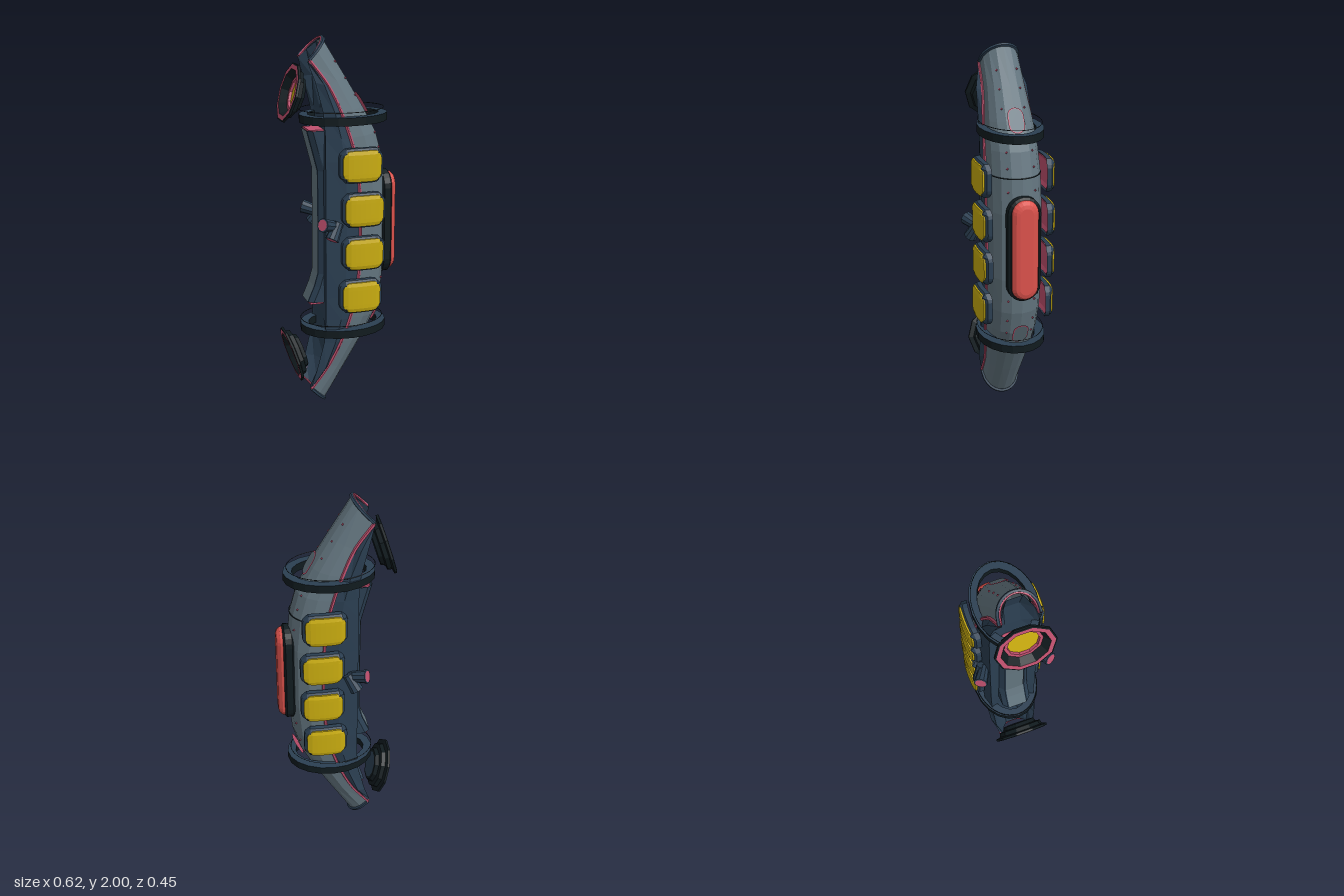
import * as THREE from 'three';

const mat = (color) => new THREE.MeshStandardMaterial({ color, flatShading: true, side: THREE.DoubleSide });
const V = (x, y, z) => new THREE.Vector3(x, y, z);
const MID = 1.0; // height of the mirror plane between upper and lower half

// Stations of the upper half: front x,y | seam x,y,half width | back edge x,y | side half width | floor x,y
const UPPER = [
  [-0.08, 1.99, -0.175, 1.89, 0.1, -0.182, 1.88, 0.104, -0.1, 1.965],
  [0.035, 1.8, -0.08, 1.76, 0.108, -0.15, 1.78, 0.138, -0.06, 1.79],
  [0.13, 1.64, -0.015, 1.62, 0.125, -0.11, 1.62, 0.145, -0.08, 1.62],
  [0.205, 1.5, 0.03, 1.49, 0.135, -0.1, 1.49, 0.148, -0.09, 1.49],
  [0.24, 1.37, 0.06, 1.37, 0.14, -0.1, 1.37, 0.15, -0.095, 1.37],
  [0.257, 1.18, 0.08, 1.18, 0.142, -0.1, 1.18, 0.15, -0.095, 1.18],
];
const flip = (s) => s.map((v, i) => ([1, 3, 6, 9].includes(i) ? 2 * MID - v : v));
const STATIONS = [...UPPER, ...UPPER.map(flip).reverse()];

// Point on the front shell of a station, a = -1 (right seam) .. 1 (left seam)
function shellPoint(s, a, out = 0) {
  const t = a * Math.PI / 2, c = Math.pow(Math.max(Math.cos(t), 0), 0.85);
  return V(s[2] + (s[0] - s[2]) * c + out * c, s[3] + (s[1] - s[3]) * c, (s[4] + out) * Math.sin(t));
}
const blend = (s, e, f) => s.map((v, i) => v + (e[i] - v) * f);
function stationAt(y) {
  let i = 0;
  while (i < STATIONS.length - 2 && STATIONS[i + 1][1] > y) i++;
  const a = STATIONS[i], b = STATIONS[i + 1];
  return blend(a, b, (a[1] - y) / (a[1] - b[1]));
}

function loft(rows) {
  const n = rows[0].length, pos = [], idx = [];
  rows.forEach((r) => r.forEach((p) => pos.push(p.x, p.y, p.z)));
  for (let i = 0; i < rows.length - 1; i++) for (let j = 0; j < n - 1; j++) {
    const a = i * n + j, b = a + n;
    idx.push(a, b, a + 1, b, b + 1, a + 1);
  }
  const g = new THREE.BufferGeometry();
  g.setAttribute('position', new THREE.Float32BufferAttribute(pos, 3));
  g.setIndex(idx);
  g.computeVertexNormals();
  return g;
}
const tube = (pts, r) =>
  new THREE.TubeGeometry(new THREE.CatmullRomCurve3(pts, false, 'centripetal'), pts.length * 4, r, 5);

function polygon(rx, ry, n, Type) {
  const pts = [];
  for (let i = 0; i < n; i++) {
    const a = (i / n) * Math.PI * 2;
    pts.push(new THREE.Vector2(rx * Math.cos(a), ry * Math.sin(a)));
  }
  return new Type(pts);
}

// Upright capsule outline
function capsule(r, half) {
  const s = new THREE.Shape();
  s.absarc(0, half - r, r, 0, Math.PI);
  s.absarc(0, r - half, r, Math.PI, Math.PI * 2);
  s.closePath();
  return s;
}

// Box with cut corners, a curved face and a rim that folds inwards
function panelGeometry(w, h, d, cut, fold) {
  const g = new THREE.BoxGeometry(w, h, d, 8, 8, 1), p = g.attributes.position;
  for (let i = 0; i < p.count; i++) {
    let x = p.getX(i), y = p.getY(i);
    const over = Math.max(0, Math.abs(x) + Math.abs(y) - (w + h) / 2 + cut) / 2;
    const edge = Math.pow(Math.max(Math.abs(2 * x / w), Math.abs(2 * y / h)), 10);
    p.setXYZ(i, x - Math.sign(x) * over, y - Math.sign(y) * over, p.getZ(i) - fold * edge - 0.8 * x * x);
  }
  g.computeVertexNormals();
  return g;
}

export function createModel() {
  const model = new THREE.Group();
  const grey = mat(0x647680), dark = mat(0x2b3f52), black = mat(0x111b1f);
  const pink = mat(0xc0506e), yellow = mat(0xcaad10), red = mat(0xdc524c);
  const add = (name, geo, m, parent = model) => {
    const mesh = new THREE.Mesh(geo, m);
    mesh.name = name;
    parent.add(mesh);
    return mesh;
  };

  // Hull: faceted front shell and dark rear shell with a gutter at each tip
  const steps = [-1, -0.75, -0.5, -0.25, 0, 0.25, 0.5, 0.75, 1];
  add('frontShell', loft(STATIONS.map((s) => steps.map((a) => shellPoint(s, a)))), grey);
  add('rearShell', loft(STATIONS.map(([, , sx, sy, w, bx, by, sw, cx, cy]) => {
    const half = [V(sx, sy, w), V(sx * 0.6 + bx * 0.4, sy * 0.6 + by * 0.4, sw),
      V(bx, by, sw * 0.86), V((bx + cx) / 2, (by + cy) / 2, sw * 0.7), V(cx, cy, 0.04)];
    return [...half, ...half.slice().reverse().map((p) => V(p.x, p.y, -p.z))];
  })), dark);
  for (const side of [-1, 1]) {
    add('seamStripe', tube(STATIONS.map((s) => shellPoint(s, side, 0.002)), 0.009), pink);
  }
  for (const s of [STATIONS[0], STATIONS[STATIONS.length - 1]]) {
    add('tipRim', tube(steps.map((a) => shellPoint(s, a, 0.001)), 0.01), dark);
    add('tipTrim', tube(steps.map((a) => shellPoint(s, a, -0.009)), 0.006), pink);
  }
  add('shellSeam', tube(steps.map((a) => shellPoint(stationAt(1.37), a)), 0.003), black);

  // Rivets in two rows along the shell
  for (const y of [1.88, 1.79, 1.7, 1.5, 1.42, 1.3, 0.7, 0.58, 0.5]) for (const side of [-1, 1]) {
    add('rivet', new THREE.OctahedronGeometry(0.007), pink).position.copy(shellPoint(stationAt(y), side * 0.34));
  }

  // Arched notches in the shell beside the collars
  for (const up of [1, -1]) {
    const s = stationAt(MID + up * 0.645);
    const notch = new THREE.Group();
    notch.name = 'notch';
    const arch = (r) => new THREE.ShapeGeometry(capsule(r, r + 0.025), 5);
    add('notchTrim', arch(0.043), pink, notch);
    add('notchFill', arch(0.037), grey, notch).position.z = 0.003;
    notch.position.set(s[0] + 0.006, s[1], 0);
    notch.rotation.set(up * -0.52, Math.PI / 2, 0, 'YXZ');
    if (up < 0) notch.position.set(stationAt(0.5)[0] + 0.006, 0.5, 0);
    if (up < 0) notch.rotation.x = 0.46;
    model.add(notch);
  }

  // Collars with a thin hoop above each
  for (const [y, rz] of [[1.557, 0.166], [0.412, 0.182]]) {
    const ring = polygon(0.235, rz, 20, THREE.Shape);
    ring.holes.push(polygon(0.19, 0.125, 20, THREE.Path));
    const geo = new THREE.ExtrudeGeometry(ring, { depth: 0.042, bevelEnabled: false });
    geo.rotateX(-Math.PI / 2);
    const collar = add('collar', geo, [dark, black]);
    collar.position.set(0.033, y, 0);
    const hoop = add('hoop', new THREE.TorusGeometry(0.225, 0.002, 4, 40), black);
    hoop.rotation.x = Math.PI / 2;
    hoop.scale.y = rz / 0.235;
    hoop.position.set(0.025, y + 0.067, 0);
  }

  // Dishes behind the tips
  const lathe = (pts) => new THREE.LatheGeometry(pts.map((p) => new THREE.Vector2(...p)), 10);
  for (const up of [1, -1]) {
    const dish = new THREE.Group();
    dish.name = 'dish';
    add('dishBody', lathe([[0, -0.065], [0.09, -0.065], [0.1, -0.045], [0.125, -0.04], [0.13, -0.018],
      [0.156, -0.012], [0.156, 0], [0.148, 0.002]]), black, dish);
    add('dishRim', lathe([[0.148, 0.002], [0.125, 0.002]]), pink, dish);
    add('dishCone', lathe([[0.125, 0.002], [0.098, -0.034]]), black, dish);
    add('dishInnerRing', lathe([[0.098, -0.034], [0.082, -0.034], [0.08, -0.048]]), pink, dish);
    add('dishLens', lathe([[0.08, -0.048], [0, -0.048]]), yellow, dish);
    add('dishBack', lathe([[0, -0.067], [0.075, -0.067]]), dark, dish);
    dish.position.set(-0.262, MID + up * 0.718, 0);
    dish.quaternion.setFromUnitVectors(V(0, 1, 0), V(-0.958, up * 0.287, 0).normalize());
    model.add(dish);
  }

  // Side panels, four on each side
  for (const side of [1, -1]) for (const [x, y] of [[0.078, 1.352], [0.092, 1.115], [0.092, 0.88], [0.078, 0.645]]) {
    const panel = new THREE.Group();
    panel.name = 'sidePanel';
    add('panelFrame', panelGeometry(0.232, 0.182, 0.026, 0.035, 0.018), dark, panel);
    add('panelBacking', panelGeometry(0.21, 0.16, 0.012, 0.03, 0.01), pink, panel).position.z = -0.012;
    add('panelFace', panelGeometry(0.205, 0.162, 0.012, 0.03, 0.006), yellow, panel).position.z = 0.0115;
    panel.position.set(x, y, side * 0.189);
    panel.rotation.y = side > 0 ? 0 : Math.PI;
    model.add(panel);
  }

  // Raised front bumper on a dark base, bowed towards the ends
  const bumper = new THREE.Group();
  bumper.name = 'frontBumper';
  const pillow = new THREE.ExtrudeGeometry(capsule(0.035, 0.235), { depth: 0.012, curveSegments: 5,
    bevelThickness: 0.04, bevelSize: 0.038, bevelSegments: 3 });
  add('bumperPad', pillow, red, bumper).position.z = 0.01;
  add('bumperBase', new THREE.ExtrudeGeometry(capsule(0.075, 0.27), { depth: 0.035, curveSegments: 5,
    bevelThickness: 0.01, bevelSize: 0.014, bevelSegments: 1 }), black, bumper).position.z = -0.015;
  bumper.position.set(0.252, 1.0, 0);
  bumper.rotation.y = Math.PI / 2;
  model.add(bumper);

  // Rear spine plate, flared at both ends
  const spine = [[1.525, -0.178], [1.42, -0.15], [1.31, -0.122], [1.0, -0.12], [0.75, -0.122], [0.68, -0.142], [0.595, -0.178]];
  add('spinePlate', loft(spine.map(([y, x]) => [V(-0.09, y, 0.085), V(x + 0.025, y, 0.08), V(x, y, 0.055),
    V(x, y, -0.055), V(x + 0.025, y, -0.08), V(-0.09, y, -0.085)])), dark);
  add('spineFace', loft(spine.map(([y, x]) => [V(x - 0.003, y, 0.05), V(x - 0.003, y, -0.05)])), grey);
  for (const y of [1.52, 0.585]) {
    add('spineEnd', new THREE.BoxGeometry(0.085, 0.012, 0.12), pink).position.set(-0.125, y, 0);
  }

  // Paired thrusters on both flanks
  for (const side of [1, -1]) {
    const jets = [[V(-0.05, 1.03, side * 0.145), V(-0.137, 1.058, side * 0.195)],
      [V(-0.04, 1.05, side * 0.155), V(-0.085, 0.97, side * 0.185)]];
    for (const [from, to] of jets) {
      const dir = to.clone().sub(from), len = dir.length();
      const jet = new THREE.Group();
      jet.name = 'thruster';
      add('nozzle', new THREE.CylinderGeometry(0.037, 0.027, len, 10), dark, jet);
      const mouth = add('nozzleMouth', new THREE.CircleGeometry(0.03, 10), pink, jet);
      mouth.rotation.x = -Math.PI / 2;
      mouth.position.y = len / 2 + 0.002;
      jet.position.copy(from).addScaledVector(dir, 0.5);
      jet.quaternion.setFromUnitVectors(V(0, 1, 0), dir.normalize());
      model.add(jet);
    }
  }
  return model;
}
